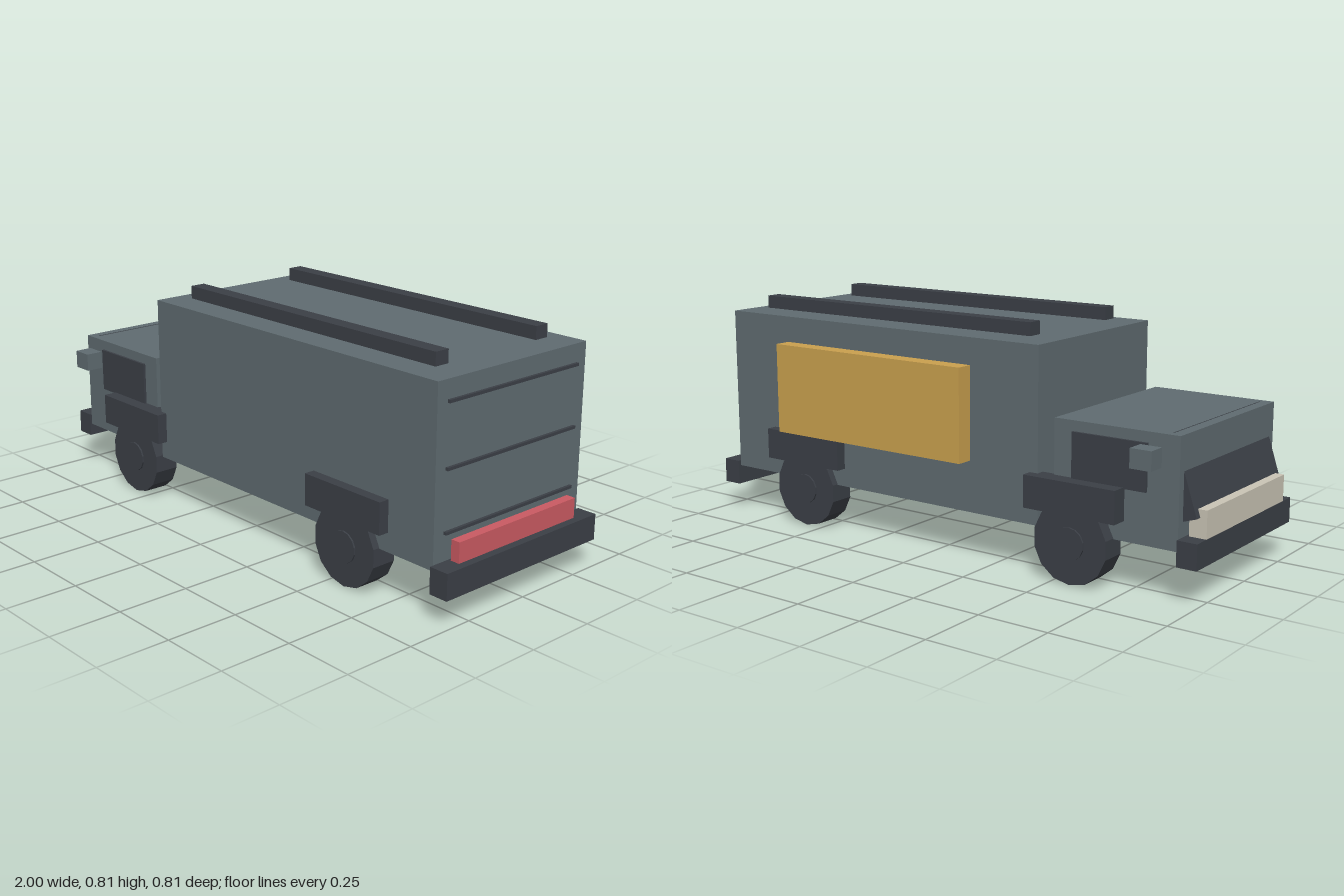
import * as THREE from 'three';

const paint = (name, color) => {
  const m = new THREE.MeshStandardMaterial({ color });
  m.name = name;
  return m;
};

export function createModel() {
  const slate = paint('slate body', 0x5f6b70);
  const dark = paint('dark trim', 0x3b3f46);
  const amber = paint('amber panel', 0xc9a04e);
  const red = paint('red lamp', 0xca5a62);
  const cream = paint('cream lamp', 0xc9c4b5);
  const truck = new THREE.Group();
  truck.name = 'boxTruck';

  // Box given by its extents along each axis
  const box = (name, mat, [x0, x1], [y0, y1], [z0, z1]) => {
    const mesh = new THREE.Mesh(new THREE.BoxGeometry(x1 - x0, y1 - y0, z1 - z0), mat);
    mesh.position.set((x0 + x1) / 2, (y0 + y1) / 2, (z0 + z1) / 2);
    mesh.name = name;
    truck.add(mesh);
    return mesh;
  };
  // Same box on both sides of the truck
  const pair = (name, mat, xs, ys, [z0, z1]) => {
    box(name + 'Left', mat, xs, ys, [z0, z1]);
    box(name + 'Right', mat, xs, ys, [-z1, -z0]);
  };

  // Main bodies, with an open gap between them
  box('cargoBody', slate, [-0.43, 0.93], [0.165, 0.754], [-0.34, 0.34]);
  box('cab', slate, [-0.93, -0.48], [0.165, 0.525], [-0.32, 0.32]);

  // Sloping windscreen: front lower edge, then leaned back
  const lean = 0.32, height = 0.27, thick = 0.05;
  const glass = new THREE.BoxGeometry(thick, height, 0.585);
  glass.translate(thick / 2, height / 2, 0);
  const windscreen = new THREE.Mesh(glass, dark);
  windscreen.position.set(-0.977, 0.27, 0);
  windscreen.rotation.z = -lean;
  windscreen.name = 'windscreen';
  truck.add(windscreen);

  // Cab sides
  pair('sideWindow', dark, [-0.82, -0.55], [0.335, 0.49], [0.32, 0.329]);
  pair('mirror', slate, [-0.88, -0.805], [0.425, 0.488], [0.342, 0.405]);

  // Front and rear ends
  box('frontBumper', dark, [-1, -0.93], [0.12, 0.205], [-0.328, 0.328]);
  box('headlampBar', cream, [-1, -0.94], [0.205, 0.296], [-0.27, 0.27]);
  box('rearBumper', dark, [0.93, 1], [0.095, 0.184], [-0.352, 0.352]);
  box('tailLamp', red, [0.94, 0.973], [0.184, 0.253], [-0.273, 0.273]);
  for (const y of [0.276, 0.479, 0.687]) {
    box('shutterLine', dark, [0.928, 0.94], [y - 0.005, y + 0.005], [-0.297, 0.297]);
  }

  // Roof rails and side awning
  pair('roofRail', dark, [-0.34, 0.84], [0.763, 0.808], [0.201, 0.256]);
  box('awningPanel', amber, [-0.16, 0.66], [0.342, 0.662], [-0.4, -0.34]);

  // Wheels, hubs and mudguards
  const drum = (name, radius, width, x, z) => {
    const geo = new THREE.CylinderGeometry(radius, radius, width, 14).toNonIndexed();
    geo.computeVertexNormals();
    geo.rotateX(Math.PI / 2);
    const mesh = new THREE.Mesh(geo, dark);
    mesh.position.set(x, 0.137, z);
    mesh.name = name;
    truck.add(mesh);
  };
  for (const x of [-0.57, 0.57]) {
    for (const side of [-1, 1]) {
      drum('tyre', 0.137, 0.09, x, side * 0.32);
      drum('hub', 0.054, 0.102, x, side * 0.32);
    }
    pair('mudguard', dark, [x - 0.17, x + 0.17], [0.23, 0.339], [0.31, 0.378]);
  }
  return truck;
}
